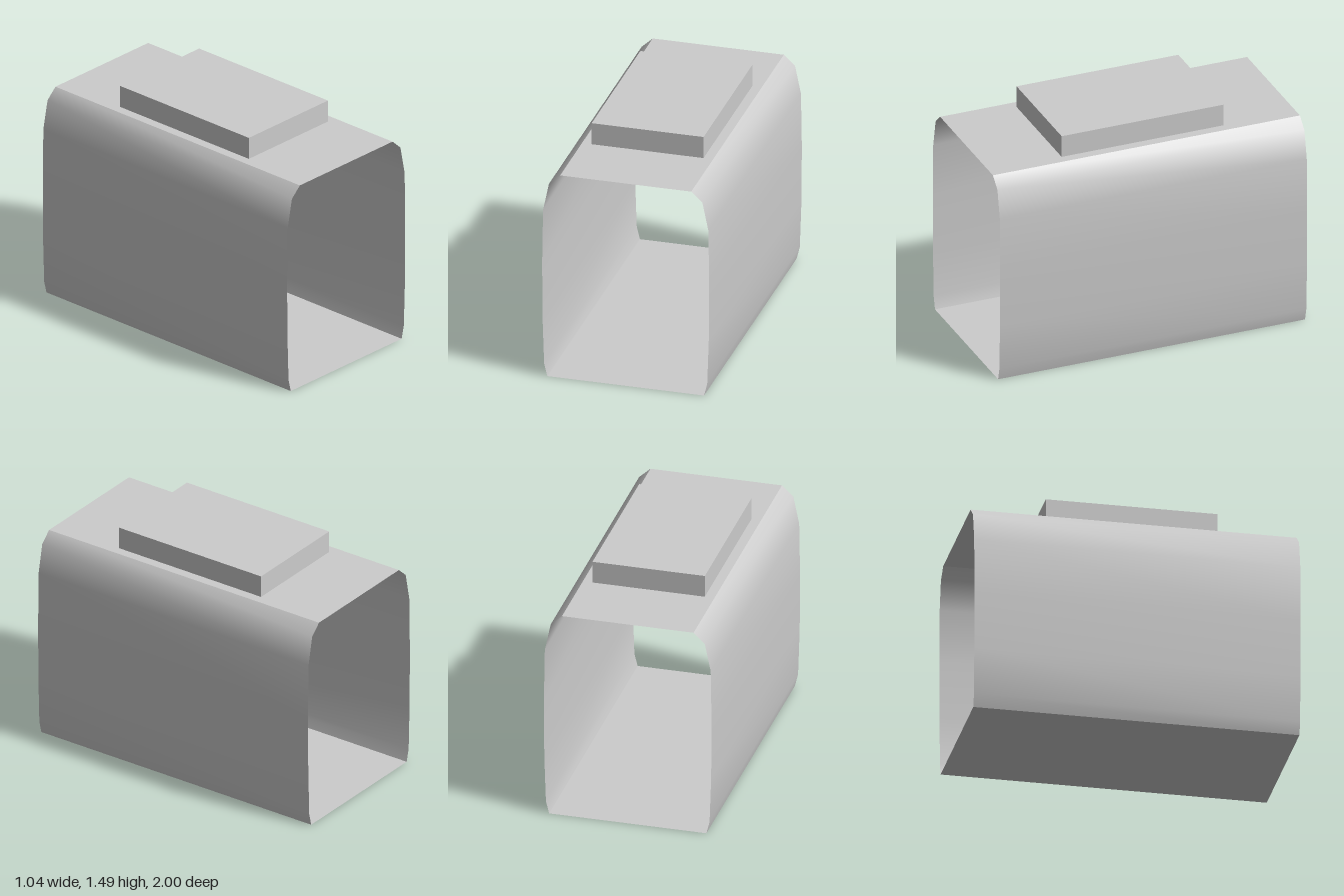
import * as THREE from 'three';
import { toCreasedNormals } from 'three/addons/utils/BufferGeometryUtils.js';

export function createModel() {
  const model = new THREE.Group();
  const grey = new THREE.MeshStandardMaterial({ color: 0xcccccc, side: THREE.DoubleSide });
  grey.name = 'light grey';

  // Half cross-section from the floor edge to the roof edge, mirrored into a loop
  const half = [
    [0.49, 0], [0.51, 0.08], [0.52, 0.38], [0.5225, 0.75],
    [0.517, 1.1], [0.48, 1.28], [0.41, 1.345],
  ];
  const loop = [...half, ...half.map(([x, y]) => [-x, y]).reverse()];

  // Thin open-ended sleeve along z
  const positions = [];
  const indices = [];
  loop.forEach(([x, y], i) => {
    positions.push(x, y, 1, x, y, -1);
    const a = 2 * i;
    const b = 2 * ((i + 1) % loop.length);
    indices.push(a, a + 1, b, b, a + 1, b + 1);
  });
  const sleeve = new THREE.BufferGeometry();
  sleeve.setAttribute('position', new THREE.Float32BufferAttribute(positions, 3));
  sleeve.setIndex(indices);
  const body = new THREE.Mesh(toCreasedNormals(sleeve, 0.69), grey);
  body.name = 'bodySleeve';
  model.add(body);

  // Flat block on the roof
  const block = new THREE.Mesh(new THREE.BoxGeometry(0.7, 0.14, 1.054), grey);
  block.name = 'roofBlock';
  block.position.y = 1.415;
  model.add(block);

  return model;
}
